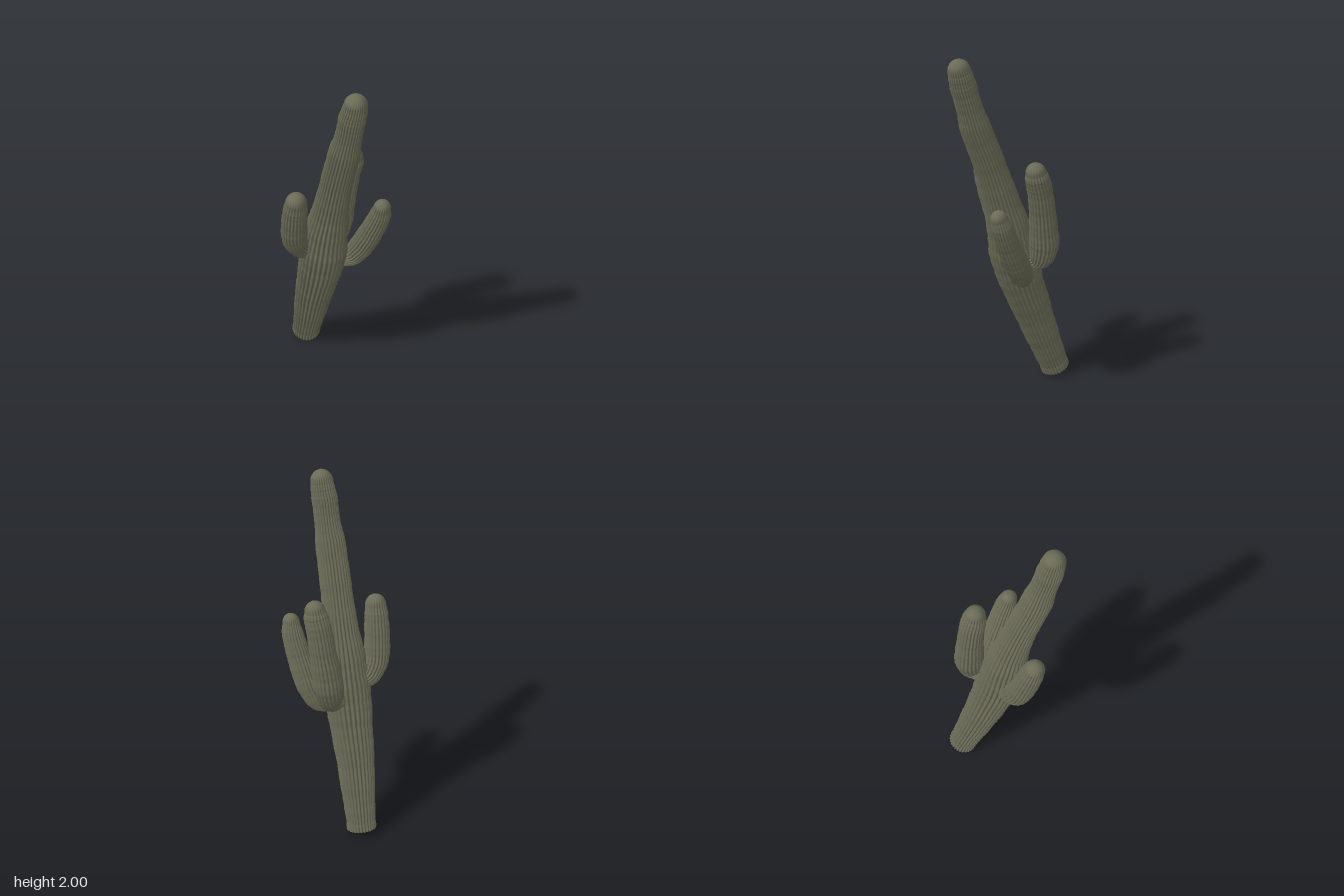
import * as THREE from 'three';

const skin = new THREE.MeshStandardMaterial({ color: 0x6b6b57 });
skin.name = 'cactus green';

// Repeatable value in -1..1 for a pair of indices
function wobble(i, j) {
  const s = Math.sin(i * 127.1 + j * 311.7) * 43758.5453;
  return (s - Math.floor(s)) * 2 - 1;
}

// Ribbed stem: each spine entry is [x, y, z, radius]; a smooth dome closes the tip
function stem(name, spine, ribs, rings, depth) {
  const path = new THREE.CatmullRomCurve3(
    spine.map(([x, y, z]) => new THREE.Vector3(x, y, z)), false, 'catmullrom');
  const radii = new THREE.CatmullRomCurve3(
    spine.map((p) => new THREE.Vector3(p[3], 0, 0)), false, 'catmullrom');
  const perRib = 6, sides = ribs * perRib, dome = 9;
  const pos = [], index = [];
  for (let i = 0; i <= rings + dome; i++) {
    const t = Math.min(i / rings, 1);
    const a = Math.max(0, i - rings) / dome * Math.PI / 2;
    const tangent = path.getTangent(t);
    const r0 = radii.getPoint(t).x;
    const center = path.getPoint(t).addScaledVector(tangent, r0 * Math.sin(a));
    const v = new THREE.Vector3(0, 0, 1);
    v.addScaledVector(tangent, -v.dot(tangent)).normalize();
    const u = new THREE.Vector3().crossVectors(v, tangent);
    // ribs fade out over the dome, uneven growth swells the stem
    const fade = Math.max(0, 1 - a / 0.7);
    const swell = 1 + fade * (0.012 * Math.sin(i * 0.55) + 0.008 * Math.sin(i * 1.37));
    for (let j = 0; j < sides; j++) {
      const angle = j / sides * Math.PI * 2;
      const crest = Math.abs(Math.sin(angle * ribs / 2));
      const notch = wobble(i, Math.floor(j / perRib)) * 0.012 * crest;
      const r = r0 * Math.cos(a) * swell * (1 + fade * (depth * (crest - 0.75) + notch));
      const p = center.clone()
        .addScaledVector(u, r * Math.cos(angle))
        .addScaledVector(v, r * Math.sin(angle));
      pos.push(p.x, p.y, p.z);
      if (i > 0) {
        const k = (j + 1) % sides, lo = (i - 1) * sides, hi = i * sides;
        index.push(lo + j, lo + k, hi + j, lo + k, hi + k, hi + j);
      }
    }
  }
  const geo = new THREE.BufferGeometry();
  geo.setAttribute('position', new THREE.Float32BufferAttribute(pos, 3));
  geo.setIndex(index);
  geo.computeVertexNormals();
  const mesh = new THREE.Mesh(geo, skin);
  mesh.name = name;
  mesh.userData.startDirection = path.getTangent(0);
  return mesh;
}

export function createModel() {
  const group = new THREE.Group();
  group.name = 'cactus';

  // Leaning trunk
  const trunkSpine = [
    [-0.022, 0.027, -0.285, 0.082],
    [-0.024, 0.1, -0.26, 0.083],
    [-0.028, 0.25, -0.205, 0.094],
    [-0.032, 0.45, -0.135, 0.107],
    [-0.03, 0.65, -0.065, 0.12],
    [-0.028, 0.82, -0.015, 0.127],
    [-0.022, 1.0, 0.02, 0.115],
    [-0.016, 1.2, 0.072, 0.093],
    [-0.014, 1.4, 0.135, 0.083],
    [-0.012, 1.6, 0.208, 0.08],
    [-0.006, 1.74, 0.25, 0.067],
    [-0.003, 1.84, 0.277, 0.068],
    [0.002, 1.9, 0.294, 0.063],
    [0.004, 1.942, 0.305, 0.058],
  ];
  const trunk = stem('trunk', trunkSpine, 28, 150, 0.11);
  group.add(trunk);

  // Cut face under the trunk
  const base = new THREE.Mesh(new THREE.CircleGeometry(0.08, 48), skin);
  base.name = 'trunkBase';
  base.position.set(...trunkSpine[0].slice(0, 3));
  base.quaternion.setFromUnitVectors(
    new THREE.Vector3(0, 0, 1), trunk.userData.startDirection.clone().negate());
  group.add(base);

  // Arms bending upward out of the trunk
  group.add(stem('rightArm', [
    [-0.07, 0.86, -0.03, 0.05],
    [-0.15, 0.89, -0.025, 0.064],
    [-0.198, 0.97, -0.008, 0.07],
    [-0.214, 1.08, 0.02, 0.069],
    [-0.22, 1.2, 0.052, 0.065],
    [-0.222, 1.275, 0.073, 0.055],
  ], 22, 70, 0.11));

  group.add(stem('backLeftArm', [
    [0.03, 0.82, -0.08, 0.045],
    [0.095, 0.835, -0.118, 0.066],
    [0.118, 0.92, -0.13, 0.08],
    [0.128, 1.03, -0.12, 0.077],
    [0.142, 1.15, -0.104, 0.07],
    [0.154, 1.27, -0.083, 0.067],
    [0.163, 1.34, -0.062, 0.064],
    [0.166, 1.378, -0.053, 0.054],
  ], 22, 80, 0.11));

  group.add(stem('frontLeftArm', [
    [0.06, 0.735, -0.02, 0.04],
    [0.13, 0.755, 0.008, 0.057],
    [0.17, 0.83, 0.045, 0.066],
    [0.192, 0.92, 0.088, 0.067],
    [0.21, 1.02, 0.132, 0.063],
    [0.225, 1.12, 0.17, 0.057],
    [0.226, 1.185, 0.19, 0.045],
  ], 22, 70, 0.11));

  return group;
}
